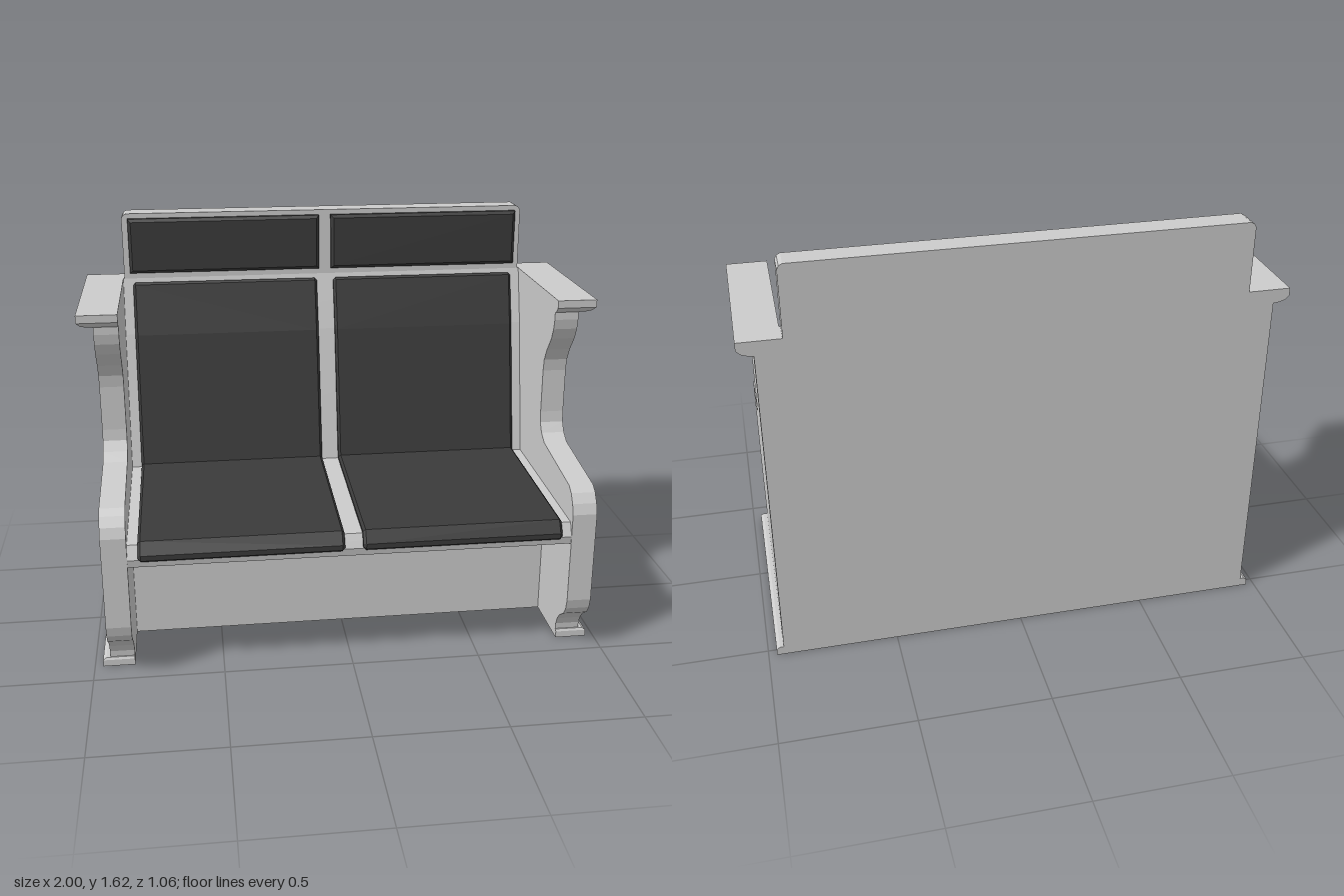
import * as THREE from 'three';

const grey = new THREE.MeshStandardMaterial({ color: 0xcccccc, flatShading: true });
const dark = new THREE.MeshStandardMaterial({ color: 0x3a3a3a, flatShading: true });

function part(name, geometry, material = grey) {
  const mesh = new THREE.Mesh(geometry, material);
  mesh.name = name;
  return mesh;
}

// Closed solid through four-cornered rings, listed counter-clockwise as seen from the last ring
function loft(rings) {
  const pos = [];
  const quad = (a, b, c, d) => pos.push(...a, ...b, ...c, ...a, ...c, ...d);
  for (let i = 0; i < rings.length - 1; i++) {
    for (let j = 0; j < 4; j++) {
      const k = (j + 1) % 4;
      quad(rings[i][j], rings[i][k], rings[i + 1][k], rings[i + 1][j]);
    }
  }
  const first = rings[0], last = rings[rings.length - 1];
  quad(first[3], first[2], first[1], first[0]);
  quad(last[0], last[1], last[2], last[3]);
  const g = new THREE.BufferGeometry();
  g.setAttribute('position', new THREE.Float32BufferAttribute(pos, 3));
  g.computeVertexNormals();
  return g;
}

// Profile of [z, y] points extruded sideways from x0 to x1, optionally bevelled at both ends
function sideways(points, x0, x1, bevel = 0) {
  const shape = new THREE.Shape(points.map(([z, y]) => new THREE.Vector2(z, y)));
  const g = new THREE.ExtrudeGeometry(shape, {
    depth: x1 - x0 - 2 * bevel,
    bevelEnabled: bevel > 0, bevelSize: bevel, bevelThickness: bevel,
    bevelOffset: -bevel, bevelSegments: 1,
  });
  return g.rotateY(-Math.PI / 2).translate(x1 - bevel, 0, 0);
}

const INNER = 0.845, OUTER = 0.94, BACK = -0.53, POST = -0.435;

// Horizontal ring of the foot and arm cap: flush inside and behind, shaped outside and in front
const slabRing = ([y, x, z]) => [[INNER, y, z], [x, y, z], [x, y, BACK], [INNER, y, BACK]];

// Upright rings of the corner post and head cushions
const postRing = (x, inset, rise) => [
  [x, 0.035 + rise, POST - inset], [x, 0.035 + rise, BACK + inset],
  [x, 1.29 - rise, BACK + inset], [x, 1.29 - rise, POST - inset],
];
const headRing = (z, i) => [
  [0.025 + i, 1.37 + i, z], [0.815 - i, 1.37 + i, z],
  [0.815 - i, 1.595 - i, z], [0.025 + i, 1.595 - i, z],
];

function createSide() {
  const side = new THREE.Group();
  // Scrolled side panel
  side.add(part('sidePanel', sideways([
    [POST, 0.035], [0.39, 0.035], [0.392, 0.06], [0.405, 0.09], [0.43, 0.12], [0.475, 0.15],
    [0.5, 0.185], [0.51, 0.225], [0.51, 0.59], [0.495, 0.63], [0.47, 0.665], [0.44, 0.685],
    [0.09, 0.73], [0.045, 0.757], [0.02, 0.795], [0.015, 0.84], [0.015, 1.017], [0.022, 1.065],
    [0.05, 1.115], [0.1, 1.175], [0.122, 1.22], [0.13, 1.26], [0.13, 1.29], [POST, 1.29],
  ], INNER, OUTER)));
  // Rear post with a bevelled recess in its outer face
  side.add(part('cornerPost', loft([
    postRing(INNER, 0, 0), postRing(OUTER, 0, 0), postRing(0.92, 0.02, 0.015),
  ])));
  side.add(part('footPlinth', loft([
    [0, 0.968, 0.4], [0.026, 0.968, 0.4], [0.035, 0.955, 0.395],
  ].map(slabRing))));
  side.add(part('armCap', loft([
    [1.29, 0.94, 0.13], [1.293, 0.965, 0.138], [1.3, 0.985, 0.15],
    [1.315, 1, 0.163], [1.345, 1, 0.163],
  ].map(slabRing))));
  return side;
}

export function createModel() {
  const model = new THREE.Group();
  model.name = 'bench';

  // Seat and back frame with a set-back kick board
  model.add(part('benchFrame', sideways([
    [BACK, 0], [0.14, 0], [0.14, 0.47], [0.505, 0.47], [0.51, 0.5], [0.485, 0.552],
    [-0.255, 0.57], [-0.37, 1.12], [POST, 1.345], [BACK, 1.345],
  ], -INNER, INNER)));

  // Head board with clipped top corners
  const board = new THREE.Shape([
    [-0.84, 1.345], [0.84, 1.345], [0.84, 1.595], [0.833, 1.608], [0.82, 1.615],
    [-0.82, 1.615], [-0.833, 1.608], [-0.84, 1.595],
  ].map(([x, y]) => new THREE.Vector2(x, y)));
  model.add(part('headBoard', new THREE.ExtrudeGeometry(board, {
    depth: POST - BACK, bevelEnabled: false,
  }).translate(0, 0, BACK)));

  // Left half, then its mirror image
  for (const s of [1, -1]) {
    const half = new THREE.Group();
    half.name = s > 0 ? 'leftHalf' : 'rightHalf';
    const side = createSide();
    side.name = 'sideEnd';
    half.add(side);
    half.add(part('seatCushion', sideways([
      [0.49, 0.5], [0.515, 0.495], [0.53, 0.505], [0.53, 0.525], [0.5, 0.572],
      [-0.235, 0.589], [-0.35, 1.12], [-0.408, 1.322], [-0.418, 1.33], [-0.45, 1.32],
      [-0.39, 1.11], [-0.275, 0.55], [0.465, 0.535],
    ], 0.035, 0.805, 0.01), dark));
    half.add(part('headCushion', loft([
      headRing(-0.44, 0), headRing(-0.418, 0), headRing(-0.406, 0.012),
    ]), dark));
    half.scale.x = s;
    model.add(half);
  }
  return model;
}
